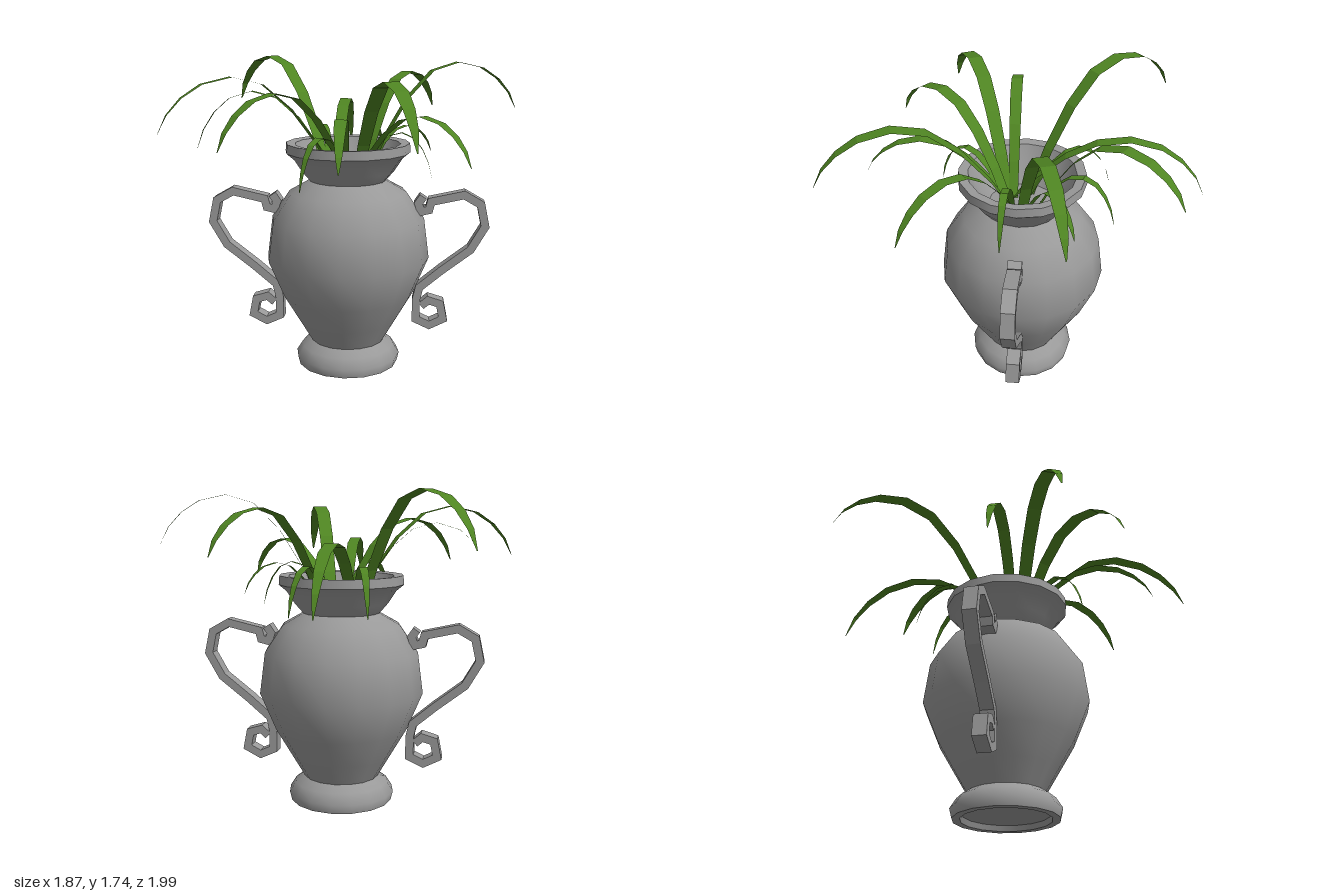
import * as THREE from 'three';

const stone = new THREE.MeshStandardMaterial({ color: 0x999999, side: THREE.DoubleSide });
stone.name = 'grey stone';
const handleStone = stone;
const green = new THREE.MeshStandardMaterial({ color: 0x4f8522, side: THREE.DoubleSide });
green.name = 'leaf green';

const CX = -0.01, CZ = -0.024; // axis of the vase

function mesh(name, geometry, material) {
  const m = new THREE.Mesh(geometry, material);
  m.name = name;
  return m;
}

// One smooth turned section; sections meet at crisp edges
function turned(name, profile) {
  const pts = profile.map(([r, y]) => new THREE.Vector2(r, y));
  return mesh(name, new THREE.LatheGeometry(pts, 16), stone);
}

function buildVase() {
  const vase = new THREE.Group();
  vase.name = 'vase';
  vase.add(
    turned('footRecess', [[0, 0.03], [0.235, 0.03]]),
    turned('footRecessWall', [[0.235, 0.03], [0.245, 0]]),
    turned('footRing', [[0.245, 0], [0.288, 0]]),
    turned('foot', [[0.288, 0], [0.3, 0.05], [0.265, 0.105], [0.212, 0.14]]),
    turned('body', [[0.212, 0.14], [0.282, 0.26], [0.375, 0.42], [0.462, 0.63],
      [0.432, 0.86], [0.33, 1.01], [0.215, 1.075]]),
    turned('neck', [[0.215, 1.075], [0.262, 1.13], [0.308, 1.2], [0.35, 1.235]]),
    turned('rimEdge', [[0.35, 1.235], [0.346, 1.285]]),
    turned('rimTop', [[0.346, 1.285], [0.295, 1.28]]),
    turned('innerWall', [[0.295, 1.28], [0.26, 1.2], [0.19, 1.08]]),
    turned('innerFloor', [[0.19, 1.08], [0, 1.08]])
  );
  vase.position.set(CX, 0, CZ);
  return vase;
}

// Flat scrolled strap: offset a centre line to both sides with mitred corners
function strapShape(path, width) {
  const p = path.map(([x, y]) => new THREE.Vector2(x, y));
  const normal = (a, b) => {
    const d = b.clone().sub(a).normalize();
    return new THREE.Vector2(-d.y, d.x);
  };
  const sides = [[], []];
  p.forEach((pt, i) => {
    const n0 = normal(p[Math.max(i - 1, 0)], p[Math.max(i, 1)]);
    const last = p.length - 1;
    const n1 = normal(p[Math.min(i, last - 1)], p[Math.min(i + 1, last)]);
    const n = n0.clone().add(n1).normalize();
    const k = (width / 2) / Math.max(n.dot(n0), 0.6);
    sides[0].push(pt.clone().addScaledVector(n, k));
    sides[1].push(pt.clone().addScaledVector(n, -k));
  });
  return new THREE.Shape([...sides[0], ...sides[1].reverse()]);
}

function buildHandle(name, side) {
  const path = [[0.425, 0.99], [0.398, 0.95], [0.415, 0.905], [0.458, 0.915], [0.47, 0.962],
    [0.652, 1.003], [0.745, 0.95], [0.772, 0.825], [0.695, 0.69], [0.535, 0.565],
    [0.412, 0.46], [0.395, 0.385], [0.395, 0.27], [0.472, 0.235], [0.55, 0.275],
    [0.532, 0.365], [0.465, 0.385], [0.425, 0.35]];
  const placed = path.map(([x, y]) => [side * x, y]);
  const depth = 0.075;
  const g = new THREE.ExtrudeGeometry(strapShape(placed, 0.045), { depth, bevelEnabled: false });
  g.translate(CX, 0, CZ - depth / 2);
  return mesh(name, g, handleStone);
}

// Arching blade: [distance along, share of rise, share of droop, share of width]
const ARCH = [[0, 0, 0, 0.75], [0.12, 0.36, 0, 0.85], [0.27, 0.7, 0, 0.95], [0.43, 0.93, 0, 1],
  [0.6, 1, 0, 1], [0.76, 1, 0.12, 0.92], [0.87, 1, 0.36, 0.75], [0.95, 1, 0.66, 0.5], [1, 1, 1, 0.08]];

function buildLeaf([bx, bz, tx, tz, peak, tip, width]) {
  const baseY = 1.08;
  const dx = tx - bx, dz = tz - bz, len = Math.hypot(dx, dz);
  const sx = -dz / len, sz = dx / len;
  const pos = [], index = [];
  ARCH.forEach(([t, rise, droop, w], i) => {
    const y = baseY + (peak - baseY) * rise - (peak - tip) * droop;
    for (const s of [-0.5, 0.5]) {
      const o = s * w * width;
      pos.push(bx + dx * t + sx * o, y, bz + dz * t + sz * o);
    }
    if (i) {
      const a = 2 * i - 2;
      index.push(a, a + 1, a + 2, a + 1, a + 3, a + 2);
    }
  });
  let g = new THREE.BufferGeometry();
  g.setAttribute('position', new THREE.Float32BufferAttribute(pos, 3));
  g.setIndex(index);
  g = g.toNonIndexed(); // one flat facet per segment
  g.computeVertexNormals();
  // keep the upper face as the front
  if (g.attributes.normal.getY(0) < 0) {
    for (let i = 0; i < index.length; i += 3) [index[i], index[i + 1]] = [index[i + 1], index[i]];
    g = new THREE.BufferGeometry();
    g.setAttribute('position', new THREE.Float32BufferAttribute(pos, 3));
    g.setIndex(index);
    g = g.toNonIndexed();
    g.computeVertexNormals();
  }
  return g;
}

export function createModel() {
  const model = new THREE.Group();
  model.name = 'pottedPlant';
  model.add(buildVase(), buildHandle('leftHandle', 1), buildHandle('rightHandle', -1));

  // base x, z, tip x, z, peak height, tip height, width
  const leaves = [
    [-0.07, 0.03, -0.07, -1.0, 1.48, 1.16, 0.07],
    [-0.12, -0.06, -0.77, -0.8, 1.74, 1.46, 0.08],
    [0.07, -0.1, 0.465, -0.84, 1.65, 1.42, 0.075],
    [0.09, -0.03, 0.93, -0.3, 1.72, 1.46, 0.075],
    [0.09, -0.05, 0.455, -0.325, 1.36, 1.2, 0.042],
    [0.04, 0.025, 0.46, 0.05, 1.35, 1.1, 0.042],
    [0.04, 0.02, 0.64, 0.53, 1.47, 1.24, 0.065],
    [0.05, 0.02, 0.38, 0.99, 1.66, 1.38, 0.08],
    [-0.02, 0.05, 0.02, 0.82, 1.47, 1.25, 0.065],
    [-0.01, 0.06, -0.215, 0.45, 1.35, 1.09, 0.045],
    [0, 0.05, -0.565, 0.72, 1.59, 1.33, 0.075],
    [-0.06, 0.06, -0.935, 0.46, 1.66, 1.38, 0.08],
    [-0.06, 0.03, -0.84, 0.07, 1.57, 1.25, 0.065],
    [-0.1, -0.06, -0.235, -0.495, 1.35, 1.1, 0.045],
    [0.03, -0.1, 0.165, -0.525, 1.35, 1.1, 0.045],
  ];
  const plant = new THREE.Group();
  plant.name = 'leaves';
  leaves.forEach((leaf) => plant.add(mesh('leaf', buildLeaf(leaf), green)));
  model.add(plant);
  return model;
}
